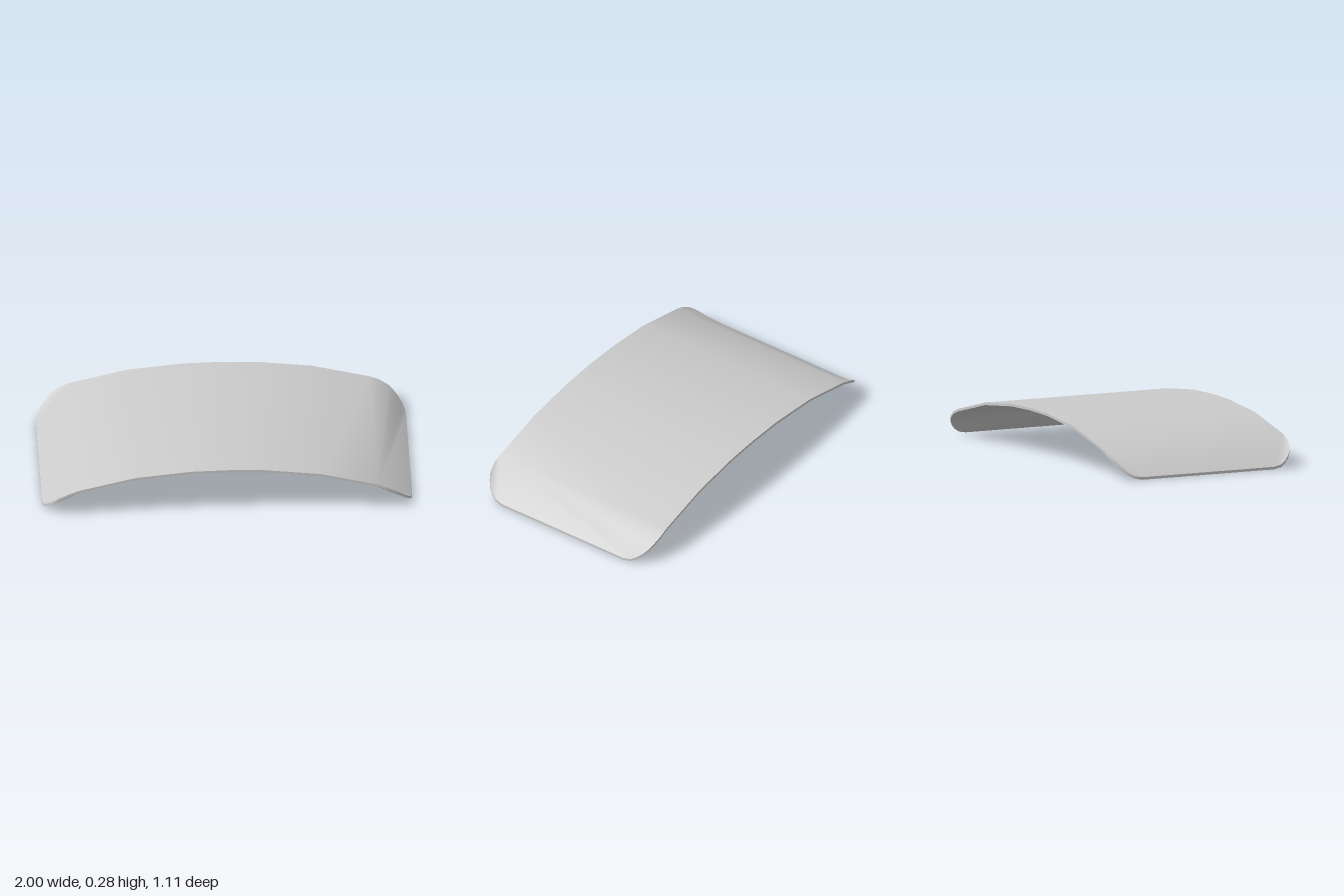
import * as THREE from 'three';

const THICK = 0.014;
const HALF = 0.557; // half depth

// Quarter outline of the upper face: [x, y, z] along the arched side, then round the corner
const side = [[0, 0.275], [0.2, 0.27], [0.5, 0.238], [0.81, 0.163]].map(([x, y]) => [x, y, HALF]);
const corner = [[0.86, 0.143, HALF], [0.914, 0.112, 0.546], [0.937, 0.09, 0.533], [0.96, 0.066, 0.513],
  [0.98, 0.041, 0.484], [0.994, 0.022, 0.45], [1, 0.014, 0.405]];

const flip = (p, sx, sz) => [p[0] * sx, p[1], p[2] * sz];

// Closed polygon of one end: front corner, straight end, back corner
function endPolygon(sx) {
  const arc = [side[3], ...corner];
  return [...arc.map(p => flip(p, sx, 1)), ...arc.map(p => flip(p, sx, -1)).reverse()];
}

// Triangles of the upper face, all facing up
function topTriangles() {
  const tris = [];
  const add = (a, b, c) => {
    const ny = (b[2] - a[2]) * (c[0] - a[0]) - (b[0] - a[0]) * (c[2] - a[2]);
    tris.push(ny > 0 ? [a, b, c] : [a, c, b]);
  };
  // arched middle strips
  for (const sx of [1, -1]) {
    for (let i = 0; i < side.length - 1; i++) {
      const [a, b] = [flip(side[i], sx, 1), flip(side[i + 1], sx, 1)];
      const [c, d] = [flip(side[i], sx, -1), flip(side[i + 1], sx, -1)];
      add(a, b, d);
      add(a, d, c);
    }
  }
  // right-hand end fans from a single point
  const r = endPolygon(1);
  for (let i = 1; i < r.length - 1; i++) add(r[0], r[i], r[i + 1]);
  // other end: flat slope with a raised flap at each corner
  const l = endPolygon(-1), n = l.length, h = n / 2;
  for (let i = 1; i < h - 1; i++) {
    add(l[0], l[i], l[i + 1]);
    add(l[n - 1], l[n - 1 - i], l[n - 2 - i]);
  }
  add(l[0], l[h - 1], l[h]);
  add(l[0], l[h], l[n - 1]);
  return tris;
}

// Indexed geometry with shared corners, so that normals are smooth
function smoothGeometry(tris) {
  const seen = new Map(), pos = [], index = [];
  for (const p of tris.flat()) {
    const key = p.map(v => (Math.round(v * 1e5) || 0)).join();
    if (!seen.has(key)) {
      seen.set(key, pos.length / 3);
      pos.push(...p);
    }
    index.push(seen.get(key));
  }
  const g = new THREE.BufferGeometry();
  g.setAttribute('position', new THREE.Float32BufferAttribute(pos, 3));
  g.setIndex(index);
  g.computeVertexNormals();
  return g;
}

export function createModel() {
  const group = new THREE.Group();
  group.name = 'curvedPanel';
  const material = new THREE.MeshStandardMaterial({ color: 0xcccccc, side: THREE.DoubleSide });
  const addPart = (name, tris) => {
    const mesh = new THREE.Mesh(smoothGeometry(tris), material);
    mesh.name = name;
    group.add(mesh);
  };
  const lower = p => [p[0], p[1] - THICK, p[2]];

  const top = topTriangles();
  addPart('upperSurface', top);
  addPart('lowerSurface', top.map(([a, b, c]) => [lower(a), lower(c), lower(b)]));

  // thin rim all the way round
  const inner = side.slice(0, 3);
  const outline = [
    ...inner.map(p => flip(p, 1, 1)), ...endPolygon(1),
    ...inner.map(p => flip(p, 1, -1)).reverse(), ...inner.slice(1).map(p => flip(p, -1, -1)),
    ...endPolygon(-1).reverse(), ...inner.slice(1).map(p => flip(p, -1, 1)).reverse(),
  ];
  const rim = [];
  outline.forEach((a, i) => {
    const b = outline[(i + 1) % outline.length];
    rim.push([a, lower(a), lower(b)], [a, lower(b), b]);
  });
  addPart('rim', rim);
  return group;
}
